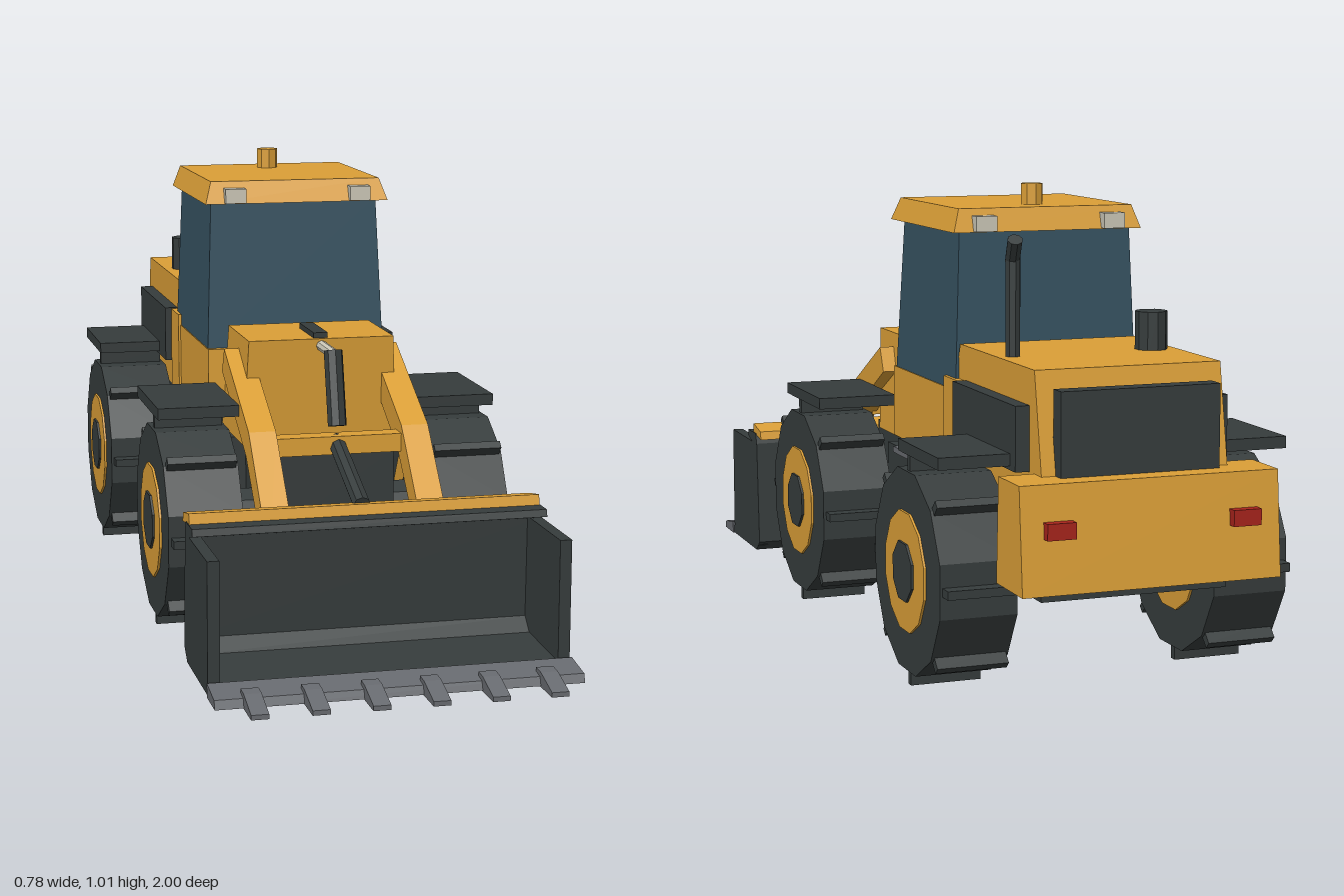
import * as THREE from 'three';

const material = (name, color) => {
  const m = new THREE.MeshStandardMaterial({ color });
  m.name = name;
  return m;
};

export function createModel() {
  const model = new THREE.Group();
  model.name = 'earthMover';
  const yellow = material('yellow paint', 0xdb9f37);
  const dark = material('dark metal', 0x363c3c);
  const glass = material('tinted glass', 0x365261);
  const grey = material('steel grey', 0x686b70);
  const lamp = material('lamp', 0xccc8b8);
  const red = material('red light', 0xa8241c);

  // Faceted mesh
  function add(name, geometry, mat, parent = model) {
    const g = geometry.index ? geometry.toNonIndexed() : geometry;
    g.computeVertexNormals();
    const mesh = new THREE.Mesh(g, mat);
    mesh.name = name;
    parent.add(mesh);
  }
  // Box from its limits
  function box(name, mat, x0, x1, y0, y1, z0, z1) {
    const g = new THREE.BoxGeometry(x1 - x0, y1 - y0, z1 - z0);
    g.translate((x0 + x1) / 2, (y0 + y1) / 2, (z0 + z1) / 2);
    add(name, g, mat);
  }
  // Tapered block: [half width, zBack, zFront, y] for the bottom and the top
  function taper(name, mat, bottom, top) {
    const g = new THREE.BoxGeometry(1, 1, 1);
    const p = g.attributes.position;
    for (let i = 0; i < p.count; i++) {
      const [w, zb, zf, y] = p.getY(i) > 0 ? top : bottom;
      p.setXYZ(i, Math.sign(p.getX(i)) * w, y, p.getZ(i) > 0 ? zf : zb);
    }
    add(name, g, mat);
  }
  // Side profile of [z, y] points, extruded across x
  function prism(name, mat, points, x0, x1) {
    const shape = new THREE.Shape(points.map(([z, y]) => new THREE.Vector2(z, y)));
    const g = new THREE.ExtrudeGeometry(shape, { depth: x1 - x0, bevelEnabled: false });
    g.rotateY(-Math.PI / 2);
    g.translate(x1, 0, 0);
    add(name, g, mat);
  }
  // Round bar between two points
  function rod(name, mat, a, b, r, sides = 8) {
    const va = new THREE.Vector3(...a), vb = new THREE.Vector3(...b);
    const dir = vb.clone().sub(va);
    const g = new THREE.CylinderGeometry(r, r, dir.length(), sides);
    g.applyQuaternion(new THREE.Quaternion().setFromUnitVectors(
      new THREE.Vector3(0, 1, 0), dir.normalize()));
    g.translate(...va.add(vb).multiplyScalar(0.5).toArray());
    add(name, g, mat);
  }

  // Chassis
  box('frontChassis', dark, -0.14, 0.14, 0.22, 0.4, -0.13, 0.34);
  box('frontChassisSides', dark, -0.2, 0.2, 0.23, 0.39, -0.11, 0.08);
  box('articulationJoint', dark, -0.18, 0.18, 0.22, 0.405, -0.28, -0.11);
  box('rearChassis', dark, -0.2, 0.2, 0.225, 0.41, -0.895, -0.28);

  // Body
  taper('cabBase', yellow, [0.21, -0.42, 0, 0.42], [0.21, -0.42, 0, 0.58]);
  taper('frontHood', yellow, [0.175, -0.02, 0.22, 0.4], [0.165, 0.015, 0.24, 0.638]);
  prism('rearBody', yellow, [[-0.4, 0.4], [-0.4, 0.61], [-0.425, 0.68], [-0.855, 0.68],
    [-0.895, 0.47], [-0.895, 0.4]], -0.2, 0.2);
  prism('rearShoulder', yellow, [[-0.355, 0.4], [-0.36, 0.605], [-0.46, 0.605], [-0.46, 0.4]],
    -0.215, 0.215);
  prism('counterweight', yellow, [[-0.845, 0.26], [-0.855, 0.475], [-0.968, 0.475],
    [-0.988, 0.26]], -0.275, 0.275);
  box('rearGrille', dark, -0.17, 0.17, 0.475, 0.645, -0.92, -0.88);

  // Cab
  taper('cabGlass', glass, [0.208, -0.418, -0.015, 0.58], [0.195, -0.405, -0.038, 0.917]);
  taper('cabRoof', yellow, [0.214, -0.426, 0.002, 0.915], [0.198, -0.41, -0.02, 0.965]);
  rod('beacon', yellow, [0, 0.96, -0.325], [0, 1.01, -0.325], 0.025);

  // Exhaust and air intake
  rod('airIntake', dark, [-0.147, 0.67, -0.635], [-0.147, 0.76, -0.635], 0.034, 10);
  rod('exhaustPipe', dark, [0.165, 0.67, -0.645], [0.165, 0.885, -0.645], 0.016);
  rod('exhaustTip', dark, [0.165, 0.875, -0.642], [0.172, 0.92, -0.675], 0.016);

  // Lift linkage
  box('linkMount', dark, -0.016, 0.016, 0.63, 0.65, 0.09, 0.23);
  rod('tiltRod', lamp, [0, 0.622, 0.2], [0, 0.622, 0.36], 0.012);
  rod('tiltLever', dark, [0, 0.63, 0.345], [0, 0.47, 0.385], 0.021);
  rod('bucketLink', dark, [0, 0.435, 0.37], [0, 0.345, 0.6], 0.019);
  box('armCrossbar', yellow, -0.15, 0.15, 0.41, 0.45, 0.355, 0.4);

  // Bucket
  prism('bucketShell', dark, [[0.9, 0.035], [0.62, 0.035], [0.59, 0.06], [0.605, 0.31],
    [0.615, 0.335], [0.685, 0.335], [0.69, 0.32], [0.635, 0.305], [0.63, 0.09],
    [0.66, 0.062], [0.9, 0.052]], -0.378, 0.378);
  prism('bucketTopBar', yellow, [[0.57, 0.325], [0.575, 0.345], [0.64, 0.357], [0.645, 0.335]],
    -0.376, 0.376);
  prism('bucketLip', grey, [[0.85, 0.034], [0.85, 0.063], [0.925, 0.052], [0.932, 0.034]],
    -0.381, 0.381);
  for (let i = 0; i < 6; i++) {
    const x = (i - 2.5) * 0.122;
    prism('bucketTooth', grey, [[0.9, 0.032], [0.9, 0.064], [0.93, 0.062], [1, 0.042], [1, 0.032]],
      x - 0.018, x + 0.018);
  }

  // Wheel: tyre, lugs, rim and hub, turned to roll along z
  function wheel(x, z) {
    const g = new THREE.Group();
    g.name = 'wheel';
    g.position.set(x, 0.24, z);
    model.add(g);
    const disc = (name, r, width, mat, sides) => {
      const c = new THREE.CylinderGeometry(r, r, width, sides);
      c.rotateY(Math.PI / sides);
      c.rotateZ(Math.PI / 2);
      add(name, c, mat, g);
    };
    disc('tyre', 0.216, 0.164, dark, 12);
    disc('rim', 0.128, 0.174, yellow, 12);
    disc('hub', 0.065, 0.184, dark, 8);
    for (let i = 0; i < 8; i++) {
      const lug = new THREE.BoxGeometry(0.152, 0.04, 0.018);
      lug.translate(0, 0.22, 0);
      lug.rotateX(i * Math.PI / 4);
      add('tyreLug', lug, dark, g);
    }
  }
  for (const z of [0.21, -0.6]) {
    rod('axle', dark, [-0.22, 0.24, z], [0.22, 0.24, z], 0.06);
  }

  // Parts repeated on both sides
  for (const s of [-1, 1]) {
    const pair = (a, b) => (s > 0 ? [a, b] : [-b, -a]);
    wheel(s * 0.298, 0.21);
    wheel(s * 0.298, -0.6);
    box('frontFender', dark, ...pair(0.2, 0.38), 0.483, 0.508, 0.025, 0.3);
    box('rearFender', dark, ...pair(0.2, 0.38), 0.483, 0.508, -0.8, -0.55);
    box('sideGrille', dark, ...pair(0.19, 0.23), 0.475, 0.607, -0.83, -0.46);
    for (const y of [0.212, 0.305, 0.407]) {
      box('step', grey, ...pair(0.17, 0.262), y, y + 0.013, -0.285, -0.15);
    }
    prism('liftArm', yellow, [[0.135, 0.605], [0.4, 0.468], [0.61, 0.235], [0.61, 0.165],
      [0.37, 0.41], [0.11, 0.55]], ...pair(0.14, 0.2));
    box('frontLamp', lamp, ...pair(0.122, 0.17), 0.917, 0.95, -0.02, 0.014);
    box('rearLamp', lamp, ...pair(0.122, 0.17), 0.917, 0.95, -0.442, -0.405);
    box('tailLight', red, ...pair(0.167, 0.227), 0.37, 0.403, -0.996, -0.965);
  }

  // Bucket cheeks
  for (const x of [-0.378, 0.353]) {
    prism('bucketCheek', dark, [[0.6, 0.05], [0.845, 0.04], [0.845, 0.31], [0.606, 0.31]],
      x, x + 0.025);
  }
  return model;
}
